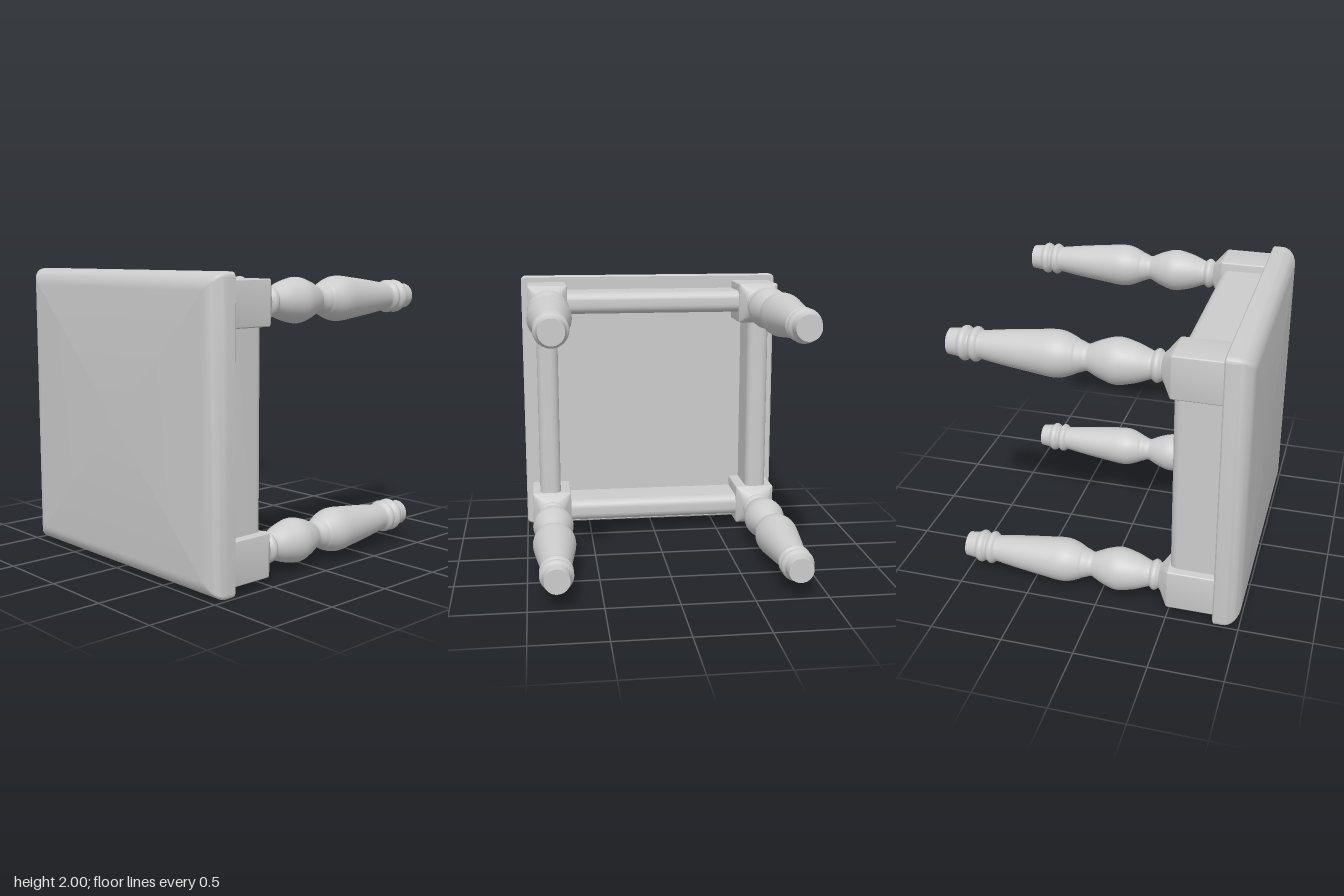
import * as THREE from 'three';
import { toCreasedNormals } from 'three/addons/utils/BufferGeometryUtils.js';

const material = new THREE.MeshStandardMaterial({ color: 0xcccccc });
const LEG = 0.804; // leg offset from the centre of the top

function makeMesh(name, geometry, crease = 0.6) {
  const mesh = new THREE.Mesh(toCreasedNormals(geometry, crease), material);
  mesh.name = name;
  return mesh;
}

// Skin over rounded squares [z, half width, corner radius], z increasing.
// A radius equal to the half width gives a circle; half width 0 closes an end.
function loft(sections, steps = 8) {
  const positions = [], index = [], ring = 4 * (steps + 1);
  for (const [z, half, radius] of sections) {
    for (let corner = 0; corner < 4; corner++) {
      const mid = Math.PI / 4 + corner * Math.PI / 2;
      const cx = Math.sign(Math.cos(mid)) * (half - radius);
      const cy = Math.sign(Math.sin(mid)) * (half - radius);
      for (let s = 0; s <= steps; s++) {
        const a = (corner + s / steps) * Math.PI / 2;
        positions.push(cx + radius * Math.cos(a), cy + radius * Math.sin(a), z);
      }
    }
  }
  for (let k = 0; k < sections.length - 1; k++) {
    for (let i = 0; i < ring; i++) {
      const a = k * ring + i, b = k * ring + (i + 1) % ring;
      index.push(a, b, b + ring, a, b + ring, a + ring);
    }
  }
  const geometry = new THREE.BufferGeometry();
  geometry.setAttribute('position', new THREE.Float32BufferAttribute(positions, 3));
  geometry.setIndex(index);
  return geometry;
}

// Square top with a rounded front edge
function tableTopGeometry() {
  const sections = [[0.82, 0, 0], [0.82, 0.99, 0.03], [0.83, 1, 0.035]];
  for (let i = 0; i <= 8; i++) {
    const a = i / 8 * Math.PI / 2;
    sections.push([0.885 + 0.115 * Math.sin(a), 0.885 + 0.115 * Math.cos(a), 0.035 - 0.03 * i / 8]);
  }
  sections.push([1, 0, 0]);
  return loft(sections);
}

// Square block that narrows to the round neck of the leg
function legBlockGeometry() {
  return loft([
    [0.4, 0, 0], [0.415, 0.085, 0.085], [0.435, 0.1, 0.075],
    [0.485, 0.143, 0.012], [0.495, 0.148, 0.01], [0.825, 0.148, 0.01], [0.825, 0, 0],
  ]);
}

// Turned leg: [radius, z] from the foot to the block
function turnedLegGeometry() {
  const spline = (points, count) => new THREE.SplineCurve(
    points.map(([r, z]) => new THREE.Vector2(r, z))).getPoints(count);
  const bead = (z, half, inner, outer) => {
    const points = [];
    for (let i = 0; i <= 8; i++) {
      const t = i / 4 - 1;
      points.push(new THREE.Vector2(inner + (outer - inner) * Math.cos(t * Math.PI / 2), z + half * t));
    }
    return points;
  };
  const profile = [
    new THREE.Vector2(0, -1), new THREE.Vector2(0.086, -1), new THREE.Vector2(0.094, -0.93),
    ...bead(-0.89, 0.034, 0.095, 0.115),
    ...bead(-0.815, 0.034, 0.093, 0.115),
    ...spline([[0.093, -0.775], [0.117, -0.61], [0.142, -0.4], [0.153, -0.29],
      [0.145, -0.22], [0.115, -0.145]], 24),
    ...spline([[0.11, -0.14], [0.1, -0.11], [0.086, -0.07], [0.1, -0.035], [0.128, 0.03],
      [0.151, 0.125], [0.128, 0.24], [0.1, 0.315], [0.088, 0.347]], 32),
    ...bead(0.382, 0.03, 0.09, 0.108),
    new THREE.Vector2(0.085, 0.42),
  ];
  return new THREE.LatheGeometry(profile, 40).rotateX(Math.PI / 2);
}

// Rail under the top with rounded lower edges
function apronGeometry() {
  const w = 0.08, low = 0.495, high = 0.825, r = 0.06, length = 2 * LEG - 0.27;
  const shape = new THREE.Shape();
  shape.moveTo(-w, high);
  shape.lineTo(-w, low + r);
  shape.absarc(-w + r, low + r, r, Math.PI, Math.PI * 1.5, false);
  shape.absarc(w - r, low + r, r, Math.PI * 1.5, Math.PI * 2, false);
  shape.lineTo(w, high);
  shape.closePath();
  return new THREE.ExtrudeGeometry(shape, { depth: length, bevelEnabled: false, curveSegments: 8 })
    .translate(0, 0, -length / 2).rotateX(Math.PI / 2).translate(LEG + 0.01, 0, 0);
}

export function createModel() {
  // The table lies on its side: top facing +z, legs pointing to -z
  const table = new THREE.Group();
  table.name = 'table';
  const top = makeMesh('tableTop', tableTopGeometry());
  top.position.y = 1;
  table.add(top);

  const block = makeMesh('legBlock', legBlockGeometry(), 0.4);
  const turning = makeMesh('turnedLeg', turnedLegGeometry(), 0.8);
  const apron = makeMesh('apron', apronGeometry());

  for (const x of [-LEG, LEG]) {
    for (const y of [-LEG, LEG]) {
      const leg = new THREE.Group();
      leg.name = 'leg';
      leg.add(block.clone(), turning.clone());
      leg.position.set(x, 1 + y, 0);
      table.add(leg);
    }
  }
  for (let side = 0; side < 4; side++) {
    const rail = apron.clone();
    rail.rotation.z = side * Math.PI / 2;
    rail.position.y = 1;
    table.add(rail);
  }
  return table;
}
